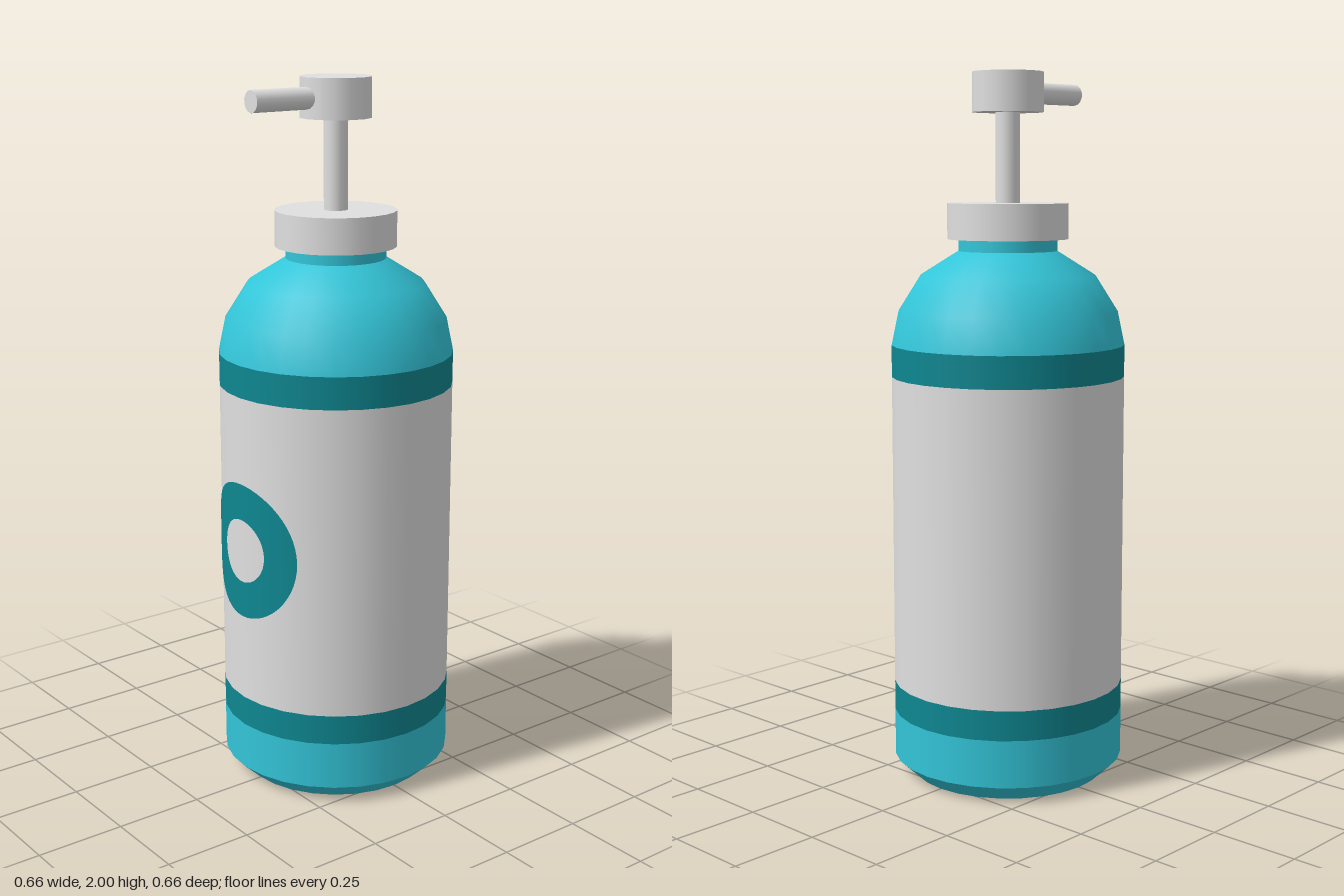
import * as THREE from 'three';

export function createModel() {
  const mat = (name, color) => Object.assign(new THREE.MeshStandardMaterial({ color }), { name });
  const teal = mat('bottle teal', 0x33c5d8);
  const dark = mat('dark teal', 0x0e8791);
  const white = mat('off white', 0xe0e0e0);

  const model = new THREE.Group();
  model.name = 'pumpBottle';
  const add = (name, geometry, material, parent = model) => {
    const mesh = new THREE.Mesh(geometry, material);
    mesh.name = name;
    parent.add(mesh);
    return mesh;
  };

  // Bottle sections: each lathe is smooth inside, with sharp edges between sections
  const R = 0.33, SIDES = 28;
  const sections = [
    ['bottleBase', teal, [[0, 0], [0.277, 0]]],
    ['bottleChamfer', teal, [[0.277, 0], [R, 0.05]]],
    ['lowerWall', teal, [[R, 0.05], [R, 0.185]]],
    ['lowerBand', dark, [[R, 0.185], [R, 0.27]]],
    ['label', white, [[R, 0.27], [R, 1.155]]],
    ['upperBand', dark, [[R, 1.155], [R, 1.245]]],
    ['shoulder', teal, [[R, 1.245], [0.31, 1.34], [0.247, 1.44], [0.14, 1.507]]],
    ['neck', teal, [[0.14, 1.507], [0.14, 1.545]]],
  ];
  for (const [name, material, profile] of sections) {
    const points = profile.map(([r, y]) => new THREE.Vector2(r, y));
    add(name, new THREE.LatheGeometry(points, SIDES), material);
  }

  // Ring emblem, wrapped around the front of the label
  const ring = new THREE.RingGeometry(0.091, 0.195, 56, 8);
  const p = ring.attributes.position;
  for (let i = 0; i < p.count; i++) {
    const a = p.getX(i) / R;
    p.setXYZ(i, Math.sin(a) * (R + 0.002), p.getY(i) + 0.715, Math.cos(a) * (R + 0.002));
  }
  ring.computeVertexNormals();
  add('labelRing', ring, dark);

  // Pump
  const pump = new THREE.Group();
  pump.name = 'pump';
  model.add(pump);
  const cylinder = (name, r, y0, y1, sides) => {
    const geometry = new THREE.CylinderGeometry(r, r, y1 - y0, sides);
    add(name, geometry, white, pump).position.y = (y0 + y1) / 2;
  };
  cylinder('collar', 0.17, 1.54, 1.64, 24);
  cylinder('stem', 0.034, 1.64, 1.89, 14);
  cylinder('pumpHead', 0.1, 1.89, 2, 14);
  const spout = new THREE.CylinderGeometry(0.03, 0.03, 0.23, 14).rotateX(Math.PI / 2);
  add('spout', spout, white, pump).position.set(0, 1.945, 0.165);

  return model;
}
